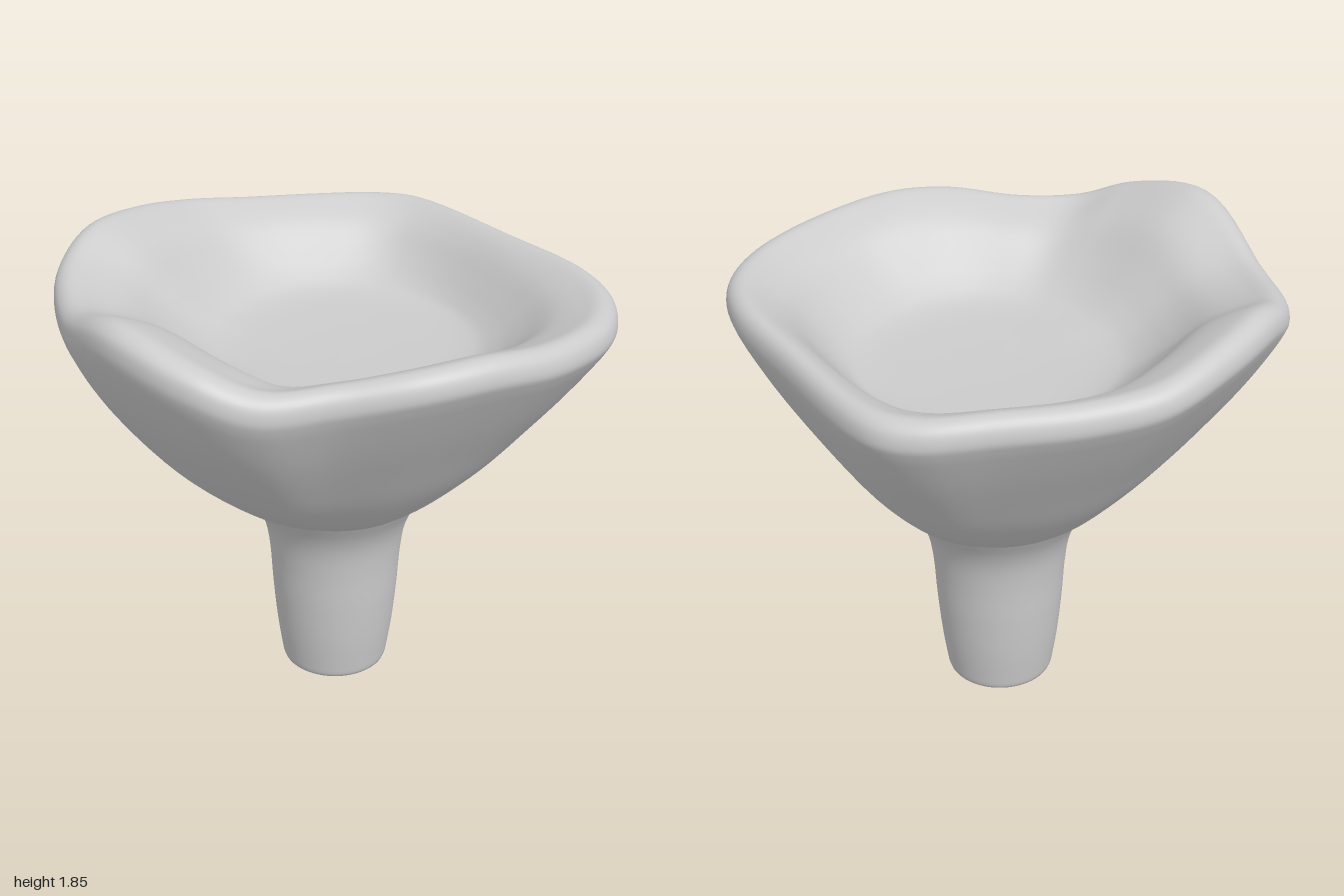
import * as THREE from 'three';

const STEM_Z = -0.105;
const FLOOR_Z = -0.15;
const FLOOR_Y = 1.415;

// Wavy cap rim, clockwise from the back: x, crest height, z
const RIM = [
  [0.07, 1.7, -0.975], [0.46, 1.705, -0.96], [0.7, 1.705, -0.87], [0.89, 1.71, -0.665],
  [0.995, 1.735, -0.32], [0.98, 1.765, -0.02], [0.91, 1.755, 0.22], [0.75, 1.715, 0.48],
  [0.63, 1.71, 0.72], [0.46, 1.785, 0.88], [0.1, 1.848, 0.975], [-0.34, 1.725, 0.885],
  [-0.69, 1.75, 0.71], [-0.85, 1.81, 0.5], [-0.957, 1.79, 0.22], [-1, 1.745, -0.07],
  [-0.93, 1.72, -0.32], [-0.8, 1.71, -0.61], [-0.675, 1.7, -0.85], [-0.53, 1.7, -0.955],
].map((p) => new THREE.Vector3(...p));

// Underside: fraction outward from stem to rim, fraction of height
const OUTER = [[0, 0], [0.1, 0.06], [0.2, 0.135], [0.38, 0.295], [0.58, 0.51], [0.76, 0.705], [0.9, 0.865], [0.97, 0.95], [1, 1]];
// Rolled lip: fraction outward from stem to rim, drop below the crest
const LIP = [[0.985, 0.035], [0.945, 0.008], [0.89, 0], [0.8, 0.02]];
// Hollow: fraction outward from floor circle to rim, fraction of height
const INNER = [[0.55, 0.76], [0.35, 0.45], [0.18, 0.21], [0.02, 0.07]];

// One section line of the cap, from the stem over the rim to the middle of the hollow
function capSection(rim) {
  const a = Math.atan2(rim.z - STEM_Z, rim.x);
  const ring = (r, cz) => new THREE.Vector3(r * Math.cos(a), 0, cz + r * Math.sin(a));
  const neck = ring(0.355, STEM_Z);
  const floor = ring(0.48, FLOOR_Z);
  const at = (from, f, y) => new THREE.Vector3().lerpVectors(from, rim, f).setY(y);
  const wide = rim.y - 0.085;
  // The underside is fuller at the front and back than at the sides
  const bulge = (0.4 + 0.1 * Math.sin(a)) * Math.sin(a) ** 2;
  return new THREE.CatmullRomCurve3([
    ...OUTER.map(([f, h]) => at(neck, f + bulge * h * (1 - h), 0.81 + h * (wide - 0.81))),
    ...LIP.map(([f, drop]) => at(neck, f, rim.y - drop)),
    ...INNER.map(([f, h]) => at(floor, f, FLOOR_Y + h * (rim.y - FLOOR_Y))),
    ring(0.25, FLOOR_Z).setY(FLOOR_Y + 0.004),
    new THREE.Vector3(0, FLOOR_Y, FLOOR_Z),
  ]);
}

function capGeometry(around = 144, along = 80) {
  const rimCurve = new THREE.CatmullRomCurve3(RIM, true);
  const pos = [], index = [];
  for (let i = 0; i < around; i++) {
    capSection(rimCurve.getPoint(i / around)).getPoints(along).forEach((p) => pos.push(p.x, p.y, p.z));
    for (let j = 0; j < along; j++) {
      const a = i * (along + 1) + j;
      const b = ((i + 1) % around) * (along + 1) + j;
      index.push(a, a + 1, b, b, a + 1, b + 1);
    }
  }
  const g = new THREE.BufferGeometry();
  g.setAttribute('position', new THREE.Float32BufferAttribute(pos, 3));
  g.setIndex(index);
  g.computeVertexNormals();
  return g;
}

export function createModel() {
  const group = new THREE.Group();
  const material = new THREE.MeshStandardMaterial({ color: 0xcccccc });

  // Flared stem with a flat foot
  const side = new THREE.SplineCurve([
    [0.218, 0.02], [0.24, 0.18], [0.256, 0.36], [0.266, 0.52], [0.282, 0.64], [0.312, 0.73], [0.36, 0.815],
  ].map((p) => new THREE.Vector2(...p))).getPoints(36);
  const foot = [[0, 0], [0.198, 0], [0.203, 0], [0.213, 0.006]].map((p) => new THREE.Vector2(...p));
  const stem = new THREE.Mesh(new THREE.LatheGeometry([...foot, ...side], 64), material);
  stem.name = 'stem';
  stem.position.z = STEM_Z;

  // Funnel-shaped cap
  const cap = new THREE.Mesh(capGeometry(), material);
  cap.name = 'cap';

  group.add(stem, cap);
  return group;
}
